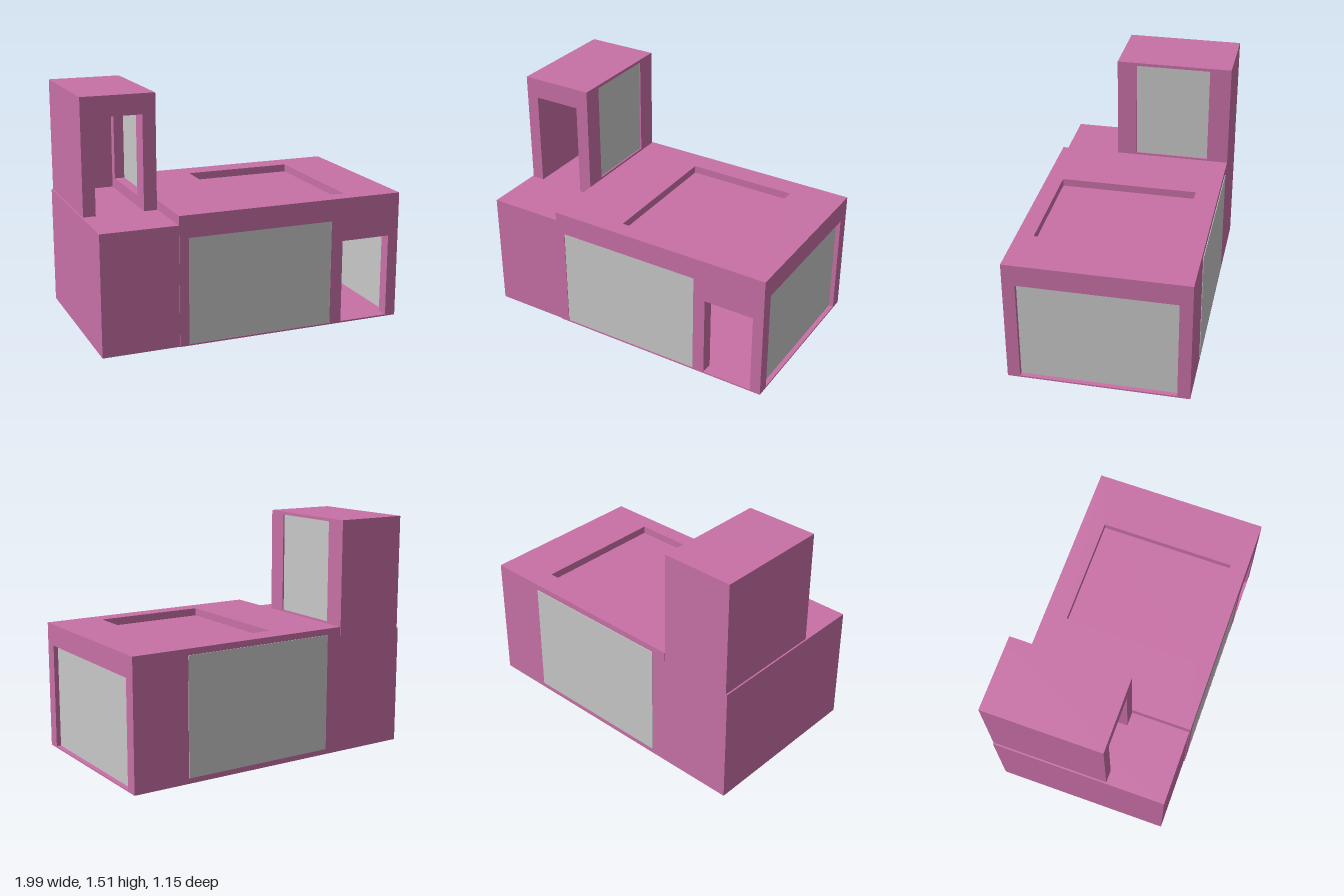
import * as THREE from 'three';

export function createModel() {
  const model = new THREE.Group();
  model.name = 'house';
  const pink = new THREE.MeshStandardMaterial({ color: 0xc870a6 });
  pink.name = 'pinkWall';
  const grey = new THREE.MeshStandardMaterial({ color: 0xc8c8c8 });
  grey.name = 'greyGlass';

  const add = (parent, name, geometry, material) => {
    const mesh = new THREE.Mesh(geometry, material);
    mesh.name = name;
    parent.add(mesh);
    return mesh;
  };

  // Box given by its limits on each axis
  const box = (parent, name, [x0, x1], [y0, y1], [z0, z1], material = pink) => {
    const g = new THREE.BoxGeometry(x1 - x0, y1 - y0, z1 - z0);
    g.translate((x0 + x1) / 2, (y0 + y1) / 2, (z0 + z1) / 2);
    return add(parent, name, g, material);
  };

  const points = (list) => list.map(([x, y]) => new THREE.Vector2(x, y));
  const rect = (x0, x1, y0, y1) => points([[x0, y0], [x1, y0], [x1, y1], [x0, y1]]);

  // Flat slab cut from an outline, with an optional opening
  const slab = (outline, depth, hole) => {
    const shape = new THREE.Shape(outline);
    if (hole) shape.holes.push(new THREE.Path(hole));
    return new THREE.ExtrudeGeometry(shape, { depth, bevelEnabled: false });
  };

  // Main hall: floor, back wall and the lower side wing
  const hall = new THREE.Group();
  hall.name = 'mainHall';
  model.add(hall);
  box(hall, 'floor', [-0.51, 0.99], [0, 0.01], [-0.57, 0.58]);
  box(hall, 'backWall', [-0.51, 0.99], [0.01, 0.69], [-0.57, -0.49]);
  box(hall, 'sideWing', [-1, -0.51], [0, 0.77], [-0.57, 0.575]);

  // Front wall with notches for the wide window and the doorway
  const front = slab(points([
    [-0.51, 0.01], [-0.45, 0.01], [-0.45, 0.688], [0.51, 0.688], [0.51, 0.01],
    [0.59, 0.01], [0.59, 0.55], [0.92, 0.55], [0.92, 0.01],
    [0.99, 0.01], [0.99, 0.69], [-0.51, 0.69],
  ]), 0.08);
  front.translate(0, 0, 0.5);
  add(hall, 'frontWall', front, pink);

  // Roof with a sunken panel
  const roof = slab(rect(-0.51, 0.99, -0.58, 0.57), 0.14, rect(-0.07, 0.65, -0.47, 0.42));
  roof.rotateX(-Math.PI / 2).translate(0, 0.69, 0);
  add(hall, 'roof', roof, pink);
  box(hall, 'sunkenRoofPanel', [-0.07, 0.65], [0.69, 0.78], [-0.42, 0.47]);

  // Hall windows
  box(hall, 'frontWindow', [-0.45, 0.51], [0.01, 0.688], [0.568, 0.577], grey);
  box(hall, 'sideWindow', [0.951, 0.96], [0.01, 0.69], [-0.49, 0.5], grey);
  box(hall, 'backWindow', [-0.41, 0.62], [0.035, 0.79], [-0.574, -0.569], grey);

  // Tower: hollow, open doorway in front, window in one side
  const tower = new THREE.Group();
  tower.name = 'tower';
  model.add(tower);
  box(tower, 'towerOuterWall', [-0.99, -0.91], [0.77, 1.51], [-0.57, 0.11]);
  box(tower, 'towerBackWall', [-0.91, -0.6], [0.77, 1.51], [-0.57, -0.49]);
  box(tower, 'towerRoof', [-0.91, -0.6], [1.43, 1.51], [-0.49, 0.11]);

  const towerFront = slab(points([
    [-0.99, 0.77], [-0.91, 0.77], [-0.91, 1.38], [-0.6, 1.38],
    [-0.6, 0.77], [-0.515, 0.77], [-0.515, 1.51], [-0.99, 1.51],
  ]), 0.08);
  towerFront.translate(0, 0, 0.11);
  add(tower, 'towerFrontWall', towerFront, pink);

  const towerSide = slab(rect(-0.11, 0.57, 0.77, 1.51), 0.085, rect(-0.06, 0.43, 0.84, 1.49));
  towerSide.rotateY(Math.PI / 2).translate(-0.6, 0, 0);
  add(tower, 'towerWindowWall', towerSide, pink);
  box(tower, 'towerWindow', [-0.534, -0.525], [0.84, 1.49], [-0.43, 0.06], grey);

  return model;
}
